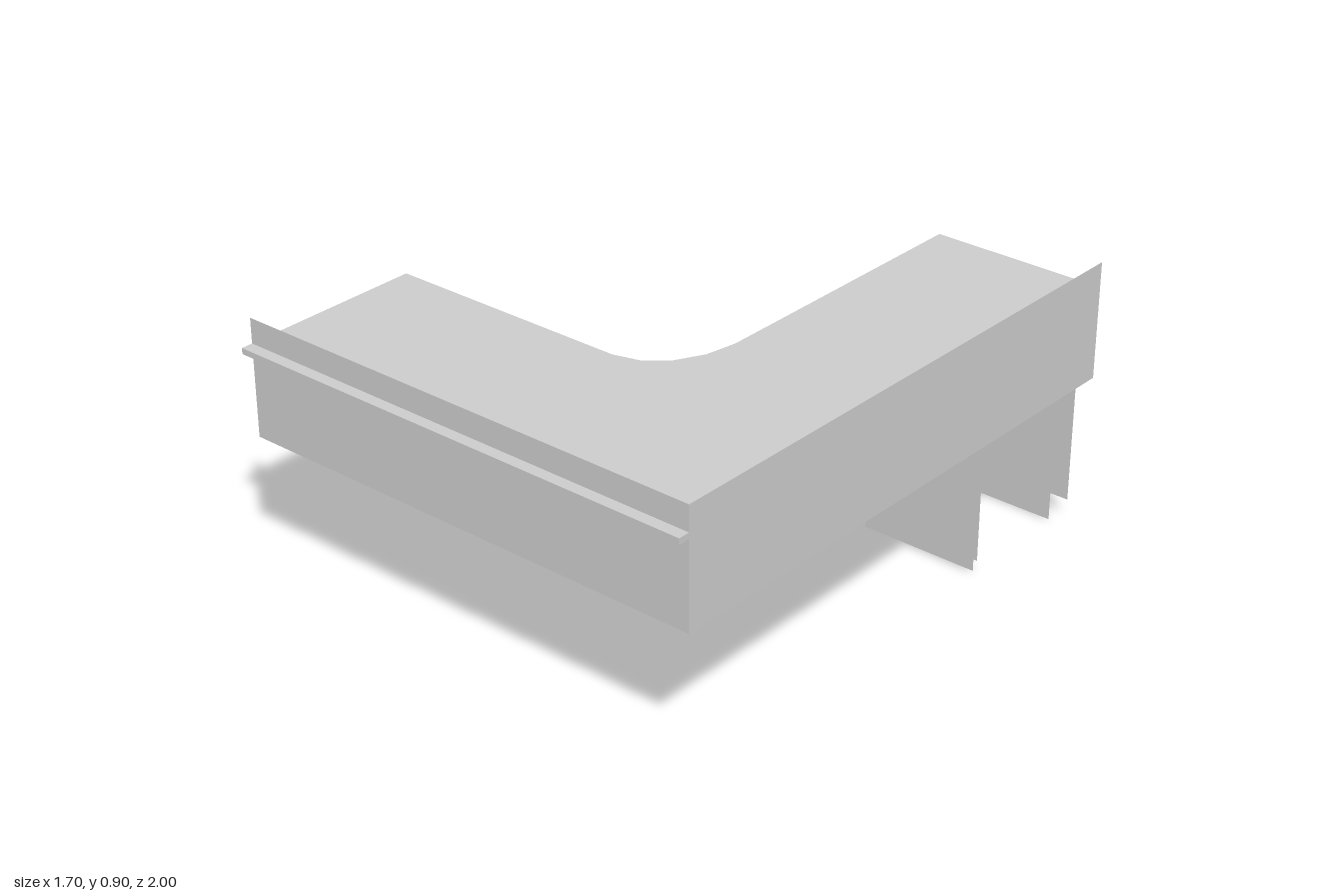
import * as THREE from 'three';

const mat = new THREE.MeshStandardMaterial({ color: 0xcccccc, flatShading: true, side: THREE.DoubleSide });

function add(parent, name, geometry, x = 0, y = 0, z = 0) {
  const mesh = new THREE.Mesh(geometry, mat);
  mesh.name = name;
  mesh.position.set(x, y, z);
  parent.add(mesh);
  return mesh;
}

// Thin upright sheet facing z
function sheetZ(parent, name, x0, x1, y0, y1, z) {
  return add(parent, name, new THREE.PlaneGeometry(x1 - x0, y1 - y0), (x0 + x1) / 2, (y0 + y1) / 2, z);
}

// Thin upright sheet facing x
function sheetX(parent, name, x, y0, y1, z0, z1) {
  const geometry = new THREE.PlaneGeometry(z1 - z0, y1 - y0).rotateY(Math.PI / 2);
  return add(parent, name, geometry, x, (y0 + y1) / 2, (z0 + z1) / 2);
}

// Three-sided shell, open at the back, top and bottom
function shell(parent, name, x0, x1, y0, y1, z0, z1) {
  const group = new THREE.Group();
  group.name = name;
  parent.add(group);
  sheetZ(group, name + 'SideRear', x0, x1, y0, y1, z0);
  sheetZ(group, name + 'SideFront', x0, x1, y0, y1, z1);
  sheetX(group, name + 'Face', x0, y0, y1, z0, z1);
}

// L-shaped top with a rounded inner corner and a sloped inner edge
function desktopGeometry() {
  const inner = [[-0.85, 0.31], [0.01, 0.31], [0.09, 0.285], [0.16, 0.225],
    [0.21, 0.13], [0.23, 0.03], [0.23, -1]];
  const outline = [...inner, [0.85, -1], [0.85, 1], [-0.85, 1]];
  const shape = new THREE.Shape(outline.map(([x, z]) => new THREE.Vector2(x, -z)));
  const geometry = new THREE.ExtrudeGeometry(shape, { depth: 0.02, bevelEnabled: false });
  geometry.rotateX(-Math.PI / 2);
  const p = geometry.attributes.position;
  for (let i = 0; i < p.count; i++) {
    const x = p.getX(i), z = p.getZ(i);
    if (p.getY(i) < 0.01 || x > 0.3 || z > 0.5) continue;
    if (x > 0.05) p.setX(i, x + 0.01);
    if (z > 0.05) p.setZ(i, z + 0.01);
  }
  geometry.computeVertexNormals();
  return geometry;
}

export function createModel() {
  const model = new THREE.Group();
  model.name = 'cornerDesk';

  // Work surface and the two screens
  add(model, 'desktop', desktopGeometry(), 0, 0.795, 0);
  sheetZ(model, 'frontScreen', -0.85, 0.85, 0.5, 0.9, 0.96);
  sheetX(model, 'sideScreen', 0.85, 0.5, 0.9, -1, 0.96);

  // Drawer cabinet on a recessed plinth
  const cabinet = new THREE.Group();
  cabinet.name = 'drawerCabinet';
  model.add(cabinet);
  shell(cabinet, 'carcass', 0.32, 0.82, 0.07, 0.795, -0.95, -0.45);
  shell(cabinet, 'plinth', 0.36, 0.78, 0, 0.43, -0.91, -0.49);

  // Drawers: bottom, top and handle heights
  [[0.115, 0.44, 0.385], [0.46, 0.585, 0.515], [0.605, 0.755, 0.645]].forEach(([y0, y1, yh], i) => {
    const drawer = new THREE.Group();
    drawer.name = 'drawer' + (i + 1);
    cabinet.add(drawer);
    add(drawer, 'drawerFront', new THREE.BoxGeometry(0.015, y1 - y0, 0.43), 0.3125, (y0 + y1) / 2, -0.7);
    add(drawer, 'handleBar', new THREE.BoxGeometry(0.01, 0.02, 0.17), 0.285, yh, -0.7);
    for (const s of [-1, 1]) {
      add(drawer, 'handlePost', new THREE.BoxGeometry(0.02, 0.02, 0.015), 0.296, yh, -0.7 + s * 0.0775);
    }
  });

  return model;
}
